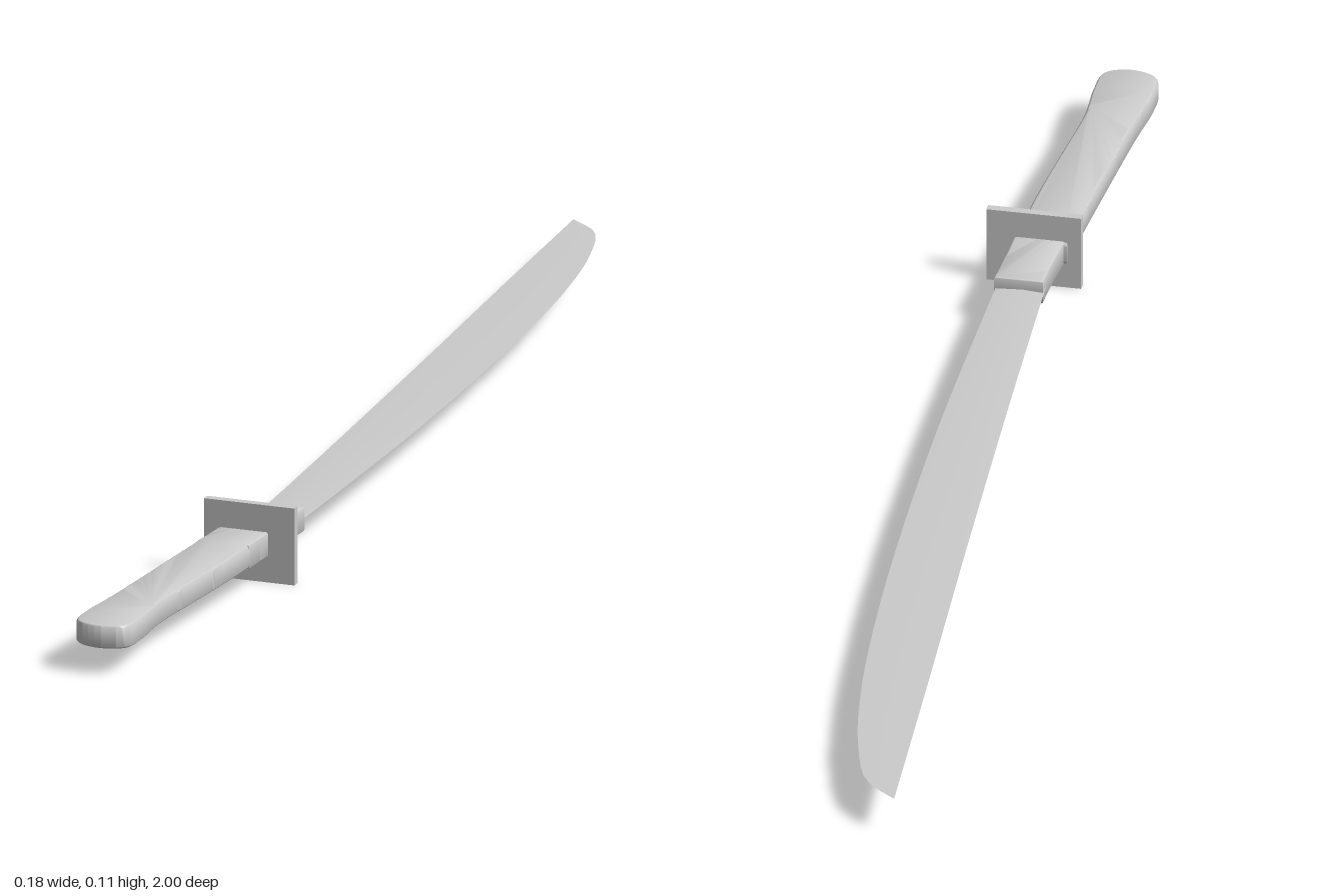
import * as THREE from 'three';
import { toCreasedNormals } from 'three/addons/utils/BufferGeometryUtils.js';

const MID = 0.054; // height of the centre plane

export function createModel() {
  const model = new THREE.Group();
  model.name = 'sword';
  const mat = new THREE.MeshStandardMaterial({ color: 0xcccccc, side: THREE.DoubleSide });

  const add = (name, geometry) => {
    const mesh = new THREE.Mesh(geometry, mat);
    mesh.name = name;
    model.add(mesh);
    return mesh;
  };

  // Flat plan outline in x and z, extruded upwards with a soft rim
  const slab = (sides, height, bevel) => {
    const shape = new THREE.Shape();
    sides.forEach((side, i) => {
      const pts = side.map(([x, z]) => new THREE.Vector2(x, -z));
      if (i === 0) shape.moveTo(pts[0].x, pts[0].y);
      else shape.lineTo(pts[0].x, pts[0].y);
      shape.splineThru(pts.slice(1));
    });
    const g = new THREE.ExtrudeGeometry(shape, {
      depth: height - 2 * bevel, curveSegments: 24,
      bevelEnabled: true, bevelThickness: bevel, bevelSize: bevel,
      bevelOffset: -bevel, bevelSegments: 4,
    });
    g.rotateX(-Math.PI / 2);
    g.translate(0, MID - height / 2 + bevel, 0);
    return toCreasedNormals(g, 0.7);
  };

  // Curved grip with a flared, rounded butt
  add('grip', slab([
    [[-0.023, 0.51], [-0.036, 0.7], [-0.047, 0.85], [-0.056, 0.94], [-0.051, 0.985], [-0.014, 1],
      [0.022, 0.985], [0.028, 0.94], [0.026, 0.86], [0.036, 0.75], [0.046, 0.63], [0.051, 0.51]],
  ], 0.034, 0.006));

  // Collar holding the blade, passing through the guard
  add('collar', slab([
    [[-0.012, 0.4], [-0.014, 0.45], [-0.02, 0.53], [-0.027, 0.59]],
    [[0.048, 0.59], [0.051, 0.53], [0.053, 0.46], [0.056, 0.4]],
  ], 0.035, 0.003));

  // Rectangular guard plate
  add('guard', new THREE.BoxGeometry(0.132, 0.11, 0.012)).position.set(0.024, 0.055, 0.52);

  // Blade: thin diamond sections between the straight and the curved edge
  const curve = (pts) => new THREE.CatmullRomCurve3(pts.map(([x, z]) => new THREE.Vector3(x, 0, z)));
  const outer = curve([[0.054, 0.43], [0.055, 0.2], [0.054, 0], [0.047, -0.25], [0.035, -0.48],
    [0.015, -0.7], [-0.012, -0.86], [-0.045, -0.96], [-0.087, -0.998]]);
  const inner = curve([[-0.012, 0.43], [-0.028, 0.1], [-0.05, -0.3], [-0.074, -0.7], [-0.091, -1]]);
  const steps = 60, pos = [], idx = [];
  for (let i = 0; i <= steps; i++) {
    const t = i / steps;
    const a = inner.getPointAt(t), b = outer.getPointAt(t);
    const ridge = a.clone().lerp(b, 0.45);
    const h = 0.0022 * (1 - t);
    pos.push(a.x, MID, a.z, ridge.x, MID + h, ridge.z, b.x, MID, b.z, ridge.x, MID - h, ridge.z);
    if (i === steps) break;
    for (let k = 0; k < 4; k++) {
      const p = i * 4 + k, q = i * 4 + (k + 1) % 4;
      idx.push(p, q, p + 4, q, q + 4, p + 4);
    }
  }
  const blade = new THREE.BufferGeometry();
  blade.setAttribute('position', new THREE.Float32BufferAttribute(pos, 3));
  blade.setIndex(idx);
  add('blade', toCreasedNormals(blade, 0.5));

  return model;
}
